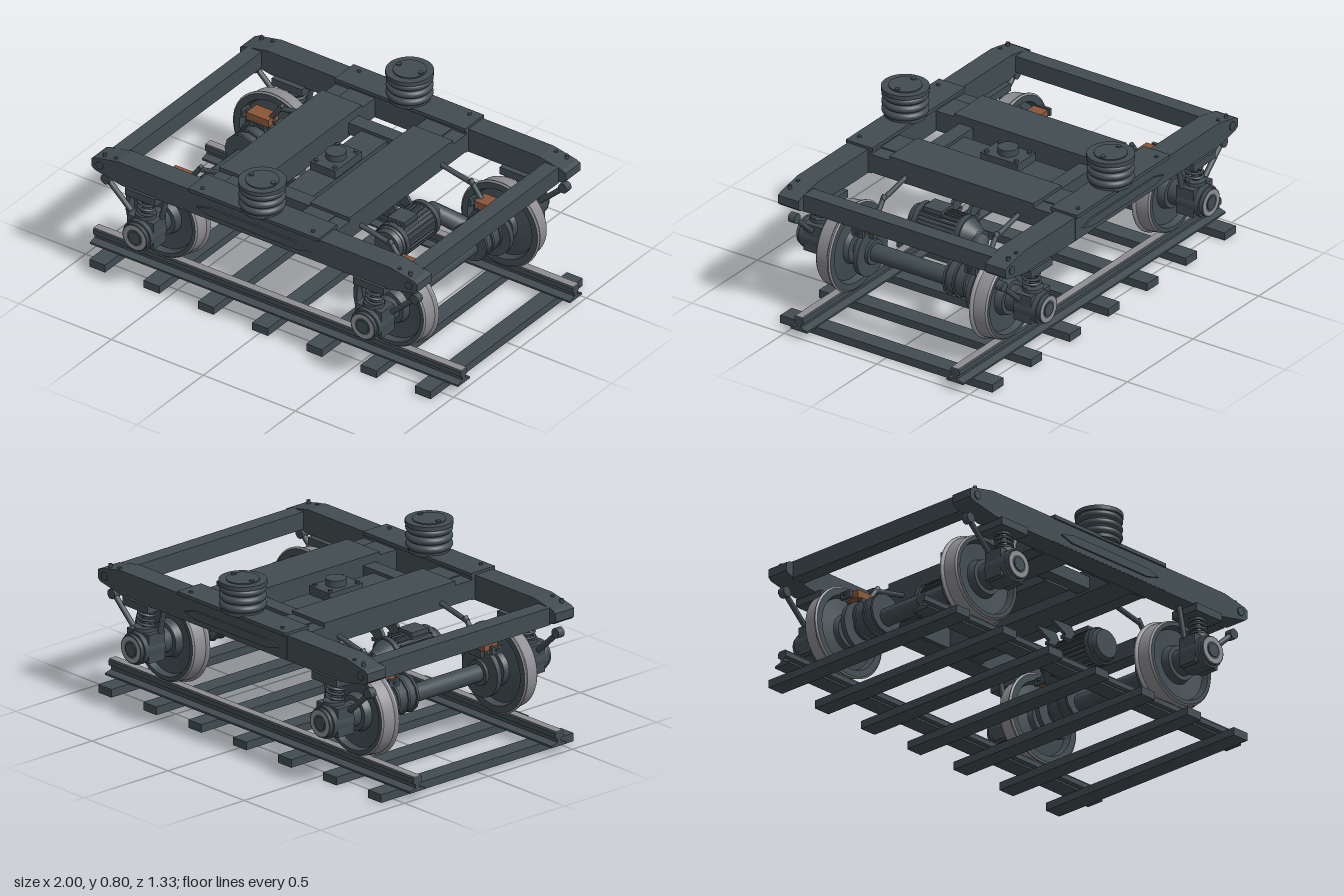
import * as THREE from 'three';

const material = (name, color) => {
  const m = new THREE.MeshStandardMaterial({ color });
  m.name = name;
  return m;
};

export function createModel() {
  const dark = material('dark painted steel', 0x414c51);
  const bright = material('bare steel', 0x8e8e93);
  const copper = material('brake copper', 0x8a5638);
  const root = new THREE.Group();
  root.name = 'railBogie';

  const add = (name, geo, x = 0, y = 0, z = 0, mat = dark) => {
    const mesh = new THREE.Mesh(geo, mat);
    mesh.name = name;
    mesh.position.set(x, y, z);
    root.add(mesh);
    return mesh;
  };
  // box given by its limits on each axis
  const box = (name, x0, x1, y0, y1, z0, z1, mat) =>
    add(name, new THREE.BoxGeometry(Math.abs(x1 - x0), y1 - y0, Math.abs(z1 - z0)),
      (x0 + x1) / 2, (y0 + y1) / 2, (z0 + z1) / 2, mat);
  // cylinder lying along z
  const cylZ = (name, r, len, x, y, z, mat, sides = 32, r2 = r) =>
    add(name, new THREE.CylinderGeometry(r, r2, len, sides).rotateX(Math.PI / 2), x, y, z, mat);
  const cylY = (name, r, y0, y1, x, z, sides = 32) =>
    add(name, new THREE.CylinderGeometry(r, r, y1 - y0, sides), x, (y0 + y1) / 2, z);
  const rod = (name, a, b, r, r2 = r) => {
    const p = new THREE.Vector3(...a), q = new THREE.Vector3(...b);
    const m = add(name, new THREE.CylinderGeometry(r2, r, p.distanceTo(q), 14));
    m.position.copy(p).add(q).multiplyScalar(0.5);
    m.quaternion.setFromUnitVectors(new THREE.Vector3(0, 1, 0), q.sub(p).normalize());
  };
  const extrude = (pts, depth) => new THREE.ExtrudeGeometry(
    new THREE.Shape(pts.map(p => new THREE.Vector2(...p))), { depth, bevelEnabled: false })
    .translate(0, 0, -depth / 2);
  const lathe = (pts, seg = 48) => {
    // each span has its own points, so corners stay crisp
    const parts = [];
    for (let i = 0; i < pts.length - 1; i++)
      parts.push(new THREE.LatheGeometry([pts[i], pts[i + 1]].map(p => new THREE.Vector2(...p)), seg));
    return parts;
  };

  // track: sleepers and rails
  for (let i = -3; i <= 3; i++) box('sleeper', i * 0.295 - 0.043, i * 0.295 + 0.043, 0, 0.038, -0.573, 0.573);
  for (const s of [-1, 1]) {
    const rail = extrude([[-0.045, 0.036], [0.045, 0.036], [0.045, 0.045], [0.011, 0.055], [0.011, 0.07],
      [0.024, 0.077], [0.024, 0.1], [0.018, 0.106], [-0.018, 0.106], [-0.024, 0.1], [-0.024, 0.077],
      [-0.011, 0.07], [-0.011, 0.055], [-0.045, 0.045]], 2).rotateY(Math.PI / 2);
    add('rail', rail, 0, 0, s * 0.422);
    box('railRunningSurface', -1, 1, 0.105, 0.108, s * 0.422 - 0.019, s * 0.422 + 0.019, bright);
  }

  // side frames with tapered ends, centre saddles and air springs
  const half = [[0.72, 0.522], [0.87, 0.552], [0.885, 0.565], [0.885, 0.605], [0.865, 0.615], [0.74, 0.64]];
  const outline = [...half, ...half.map(([x, y]) => [-x, y]).reverse()];
  const rib = [[-0.31, 0.57], [-0.24, 0.55], [0.24, 0.55], [0.31, 0.57], [0.24, 0.59], [-0.24, 0.59]];
  const bellows = [[0, 0.655], [0.085, 0.655]];
  for (let i = 0; i <= 36; i++) {
    bellows.push([0.086 + 0.02 * Math.sqrt(Math.abs(Math.sin(i / 36 * Math.PI * 3))), 0.66 + i / 36 * 0.115]);
  }
  for (const s of [-1, 1]) {
    add('sideFrame', extrude(outline, 0.11), 0, 0, s * 0.56);
    box('frameSaddle', -0.355, 0.355, 0.635, 0.652, s * 0.482, s * 0.625);
    box('frameSaddleSide', -0.355, 0.355, 0.525, 0.637, s * 0.488, s * 0.616);
    add('frameRib', extrude(rib, 0.012), 0, 0, s * 0.619);
    for (const x of [-1, 1]) {
      for (const dx of [0.3, 0.77, 0.83])
        cylY('frameBolt', 0.009, 0.615, dx < 0.5 ? 0.66 : 0.64, x * dx, s * 0.59, 8);
      cylZ('frameEndBoss', 0.02, 0.006, x * 0.84, 0.585, s * 0.617, dark, 16);
    }
    const z = s * 0.555;
    cylY('airSpringSeat', 0.095, 0.645, 0.662, 0, z);
    add('airSpringBellows', new THREE.LatheGeometry(bellows.map(p => new THREE.Vector2(...p)), 40), 0, 0, z);
    cylY('airSpringPlate', 0.108, 0.772, 0.792, 0, z);
    cylY('airSpringCap', 0.075, 0.79, 0.797, 0, z);
    for (const x of [-0.06, 0.06]) cylY('airSpringBolt', 0.012, 0.79, 0.803, x, z, 8);
  }

  // transoms, end bars and centre pivot
  for (const s of [-1, 1]) {
    box('transom', s * 0.14, s * 0.28, 0.527, 0.625, -0.5, 0.5);
    box('transomCover', s * 0.14, s * 0.355, 0.535, 0.64, -0.39, 0.39);
    box('transomOuter', s * 0.27, s * 0.355, 0.53, 0.62, -0.5, 0.5);
    box('endBar', s * 0.77, s * 0.845, 0.54, 0.622, -0.51, 0.51);
    box('crossTie', -0.15, 0.15, 0.54, 0.6, s * 0.325 - 0.037, s * 0.325 + 0.037);
  }
  box('pivotBeam', -0.072, 0.072, 0.53, 0.585, -0.3, 0.3);
  box('pivotBlock', -0.068, 0.068, 0.58, 0.625, -0.1, 0.1);
  cylY('pivotPin', 0.046, 0.62, 0.656, 0, 0);
  for (const x of [-1, 1]) for (const z of [-1, 1]) cylY('pivotBolt', 0.01, 0.62, 0.634, x * 0.05, z * 0.08, 8);

  // wheel profile as [radius, distance from the inner face]
  const back = [[0.001, -0.005], [0.075, -0.005], [0.085, 0.018], [0.165, 0.03], [0.175, 0], [0.206, 0]];
  const tread = [[0.206, 0], [0.214, 0.006], [0.212, 0.014], [0.203, 0.022], [0.197, 0.082], [0.19, 0.09]];
  const face = [[0.19, 0.09], [0.172, 0.09], [0.164, 0.06], [0.09, 0.055], [0.08, 0.09], [0.001, 0.09]];
  const ring = new THREE.RingGeometry(0.042, 0.06, 32);
  class Helix extends THREE.Curve {
    getPoint(t, v = new THREE.Vector3()) {
      const a = t * Math.PI * 2 * 4;
      return v.set(Math.cos(a) * 0.037, t * 0.09, Math.sin(a) * 0.037);
    }
  }
  const coil = new THREE.TubeGeometry(new Helix(), 80, 0.007, 6);

  for (const sx of [-1, 1]) {
    const X = sx * 0.62, Y = 0.31;
    cylZ('axle', 0.041, 1.1, X, Y, 0);

    for (const s of [-1, 1]) {
      // wheel
      for (const [pts, mat, name] of [[back, dark, 'wheelBack'], [tread, bright, 'wheelTread'], [face, dark, 'wheelFace']])
        for (const geo of lathe(pts)) {
          geo.rotateX(s * Math.PI / 2);
          add(name, geo, X, Y, s * 0.374, mat);
        }

      // axle box, end cap and bright bearing ring
      box('axleBox', X - 0.072, X + 0.072, 0.25, 0.385, s * 0.52, s * 0.615);
      cylZ('axleBoxNeck', 0.06, 0.07, X, Y, s * 0.495);
      cylZ('axleBoxDrum', 0.075, 0.12, X, Y, s * 0.58);
      cylZ('axleCap', 0.066, 0.03, X, Y, s * 0.643);
      const r = add('bearingRing', ring, X, Y, s * 0.6595, bright);
      if (s < 0) r.rotation.y = Math.PI;
      cylZ('axleCapCentre', 0.032, 0.012, X, Y, s * 0.657, dark, 16);

      // primary suspension
      box('springMount', X - 0.075, X + 0.09, 0.49, 0.527, s * 0.478, s * 0.628);
      const spring = add('coilSpring', coil, X, 0.4, s * 0.572);
      spring.rotation.x = -s * 0.12;
      rod('springGuide', [X, 0.37, s * 0.58], [X, 0.5, s * 0.558], 0.016);
      cylY('springSeat', 0.048, 0.385, 0.402, X, s * 0.574, 20);
      rod('damper', [sx * 0.71, 0.37, s * 0.56], [sx * 0.835, 0.485, s * 0.56], 0.013);
      cylZ('damperEye', 0.024, 0.035, sx * 0.84, 0.49, s * 0.56, dark, 16);
      rod('axleBoxLink', [sx * 0.555, 0.38, s * 0.545], [sx * 0.52, 0.525, s * 0.545], 0.013);

      // disc brake
      const z = s * 0.305;
      cylZ('brakeDisc', 0.117, 0.024, X, Y, z);
      cylZ('brakeHub', 0.06, 0.055, X, Y, z);
      box('brakeCaliper', X - 0.06, X + 0.06, 0.428, 0.465, z - 0.039, z + 0.039, copper);
      for (const d of [-1, 1]) {
        box('brakePadArm', X - 0.04, X + 0.04, 0.395, 0.43, z + d * 0.022, z + d * 0.045);
        box('brakeFork', X + d * 0.085, X + d * 0.1, 0.42, 0.455, z - 0.03, z + 0.03);
      }
      box('brakePin', X - 0.11, X + 0.11, 0.435, 0.447, z - 0.008, z + 0.008);
      rod('brakeHanger', [X - sx * 0.05, 0.46, z], [sx * 0.51, 0.54, z], 0.012);
      rod('brakeReactionArm', [sx * 0.53, 0.52, z], [sx * 0.34, 0.56, z], 0.012);
    }

    // traction motor with cooling ribs
    const mx = sx * 0.42, my = 0.422;
    cylZ('motorBody', 0.077, 0.26, mx, my, 0.05);
    for (let i = 0; i < 24; i++) {
      const a = i / 24 * Math.PI * 2;
      const fin = add('motorFin', new THREE.BoxGeometry(0.014, 0.007, 0.2), mx + Math.cos(a) * 0.08, my + Math.sin(a) * 0.08, 0.05);
      fin.rotation.z = a;
    }
    for (const z of [-0.075, 0.155]) cylZ('motorCollar', 0.087, 0.025, mx, my, z);
    cylZ('motorFanCover', 0.066, 0.035, mx, my, 0.183, dark, 32, 0.082);
    cylZ('motorBell', 0.08, 0.065, mx, my, -0.118, dark, 32, 0.04);
    box('terminalBox', mx - 0.045, mx + 0.045, 0.48, 0.518, 0.03, 0.13);
    for (const z of [-0.05, 0.045]) {
      box('motorMount', sx * 0.3, sx * 0.37, 0.46, 0.475, z - 0.012, z + 0.012);
      add('motorBracket', extrude([[sx * 0.22, 0.53], [sx * 0.35, 0.53], [sx * 0.4, 0.46], [sx * 0.36, 0.455]]
        .sort(() => 0), 0.016), 0, 0, z);
    }

    // gear case and slanted drive housing
    cylZ('gearCase', 0.085, 0.1, X, 0.33, -0.21, dark, 12);
    for (const z of [-0.265, -0.205, -0.155]) cylZ('gearCaseFlange', 0.093, 0.012, X, 0.33, z, dark, 12);
    rod('driveHousing', [sx * 0.57, 0.35, -0.215], [mx, my, -0.15], 0.045, 0.04);
    rod('driveNose', [mx, my, -0.165], [mx, my, -0.1], 0.04, 0.055);
  }
  return root;
}
